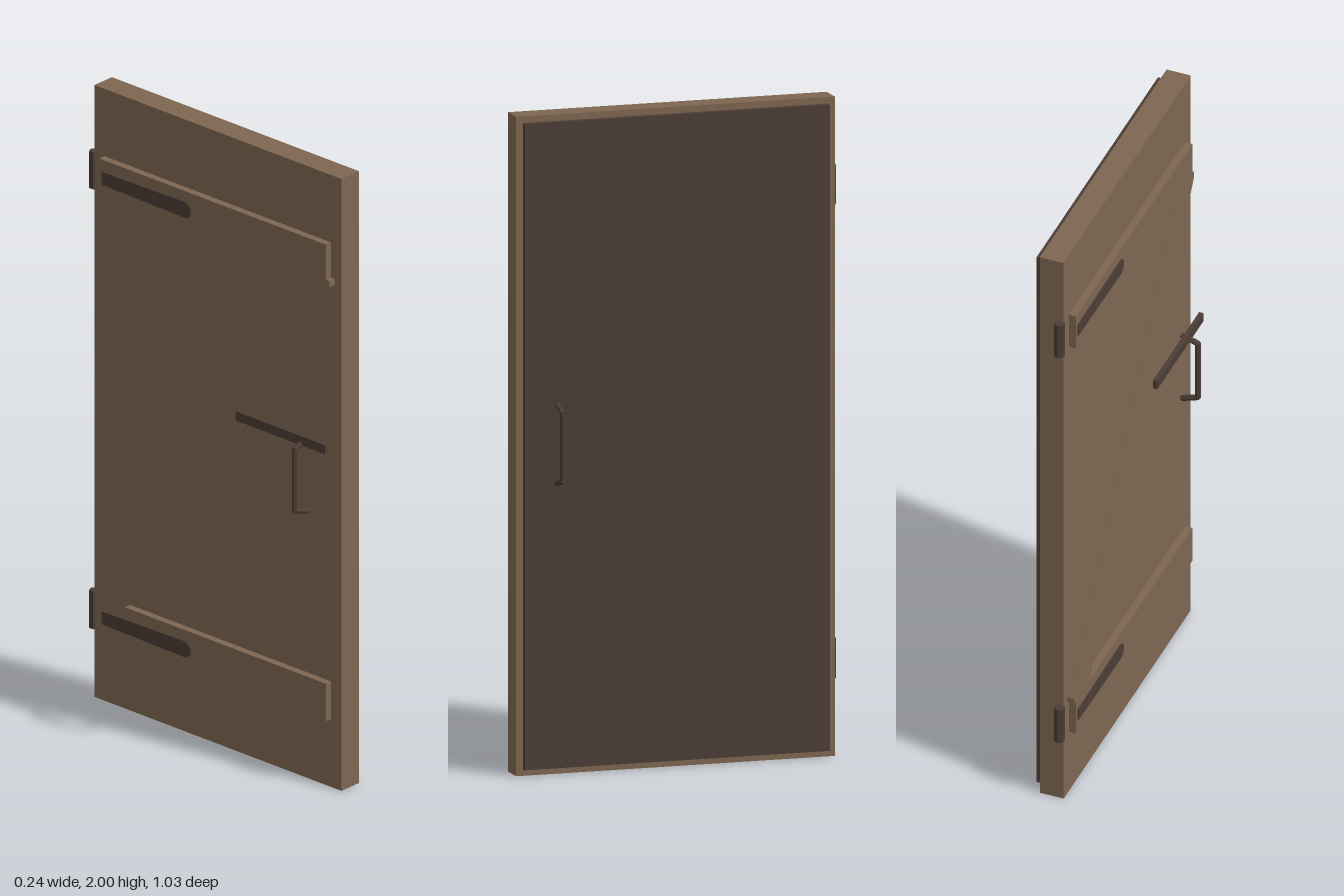
import * as THREE from 'three';

export function createModel() {
  const door = new THREE.Group();
  door.name = 'door';
  const wood = new THREE.MeshStandardMaterial({ color: 0x7e6751 });
  wood.name = 'wood';
  const dark = new THREE.MeshStandardMaterial({ color: 0x4d3d36 });
  dark.name = 'darkBrown';

  function add(name, geometry, material, parent = door) {
    const mesh = new THREE.Mesh(geometry, material);
    mesh.name = name;
    parent.add(mesh);
    return mesh;
  }

  // Box given by its minimum and maximum corners
  function box(name, [x0, y0, z0], [x1, y1, z1], material) {
    const mesh = add(name, new THREE.BoxGeometry(x1 - x0, y1 - y0, z1 - z0), material);
    mesh.position.set((x0 + x1) / 2, (y0 + y1) / 2, (z0 + z1) / 2);
    return mesh;
  }

  // Outline in (z, y), standing out from x = base towards -x
  function plate(name, shape, base, depth, material) {
    const geometry = new THREE.ExtrudeGeometry(shape, { depth, bevelEnabled: false, curveSegments: 8 });
    geometry.rotateY(-Math.PI / 2);
    geometry.translate(base, 0, 0);
    return add(name, geometry, material);
  }

  // Slab and dark facing panel
  box('slab', [-0.04, 0, -0.487], [0.037, 2, 0.512], wood);
  box('facingPanel', [0.037, 0.02, -0.466], [0.056, 1.98, 0.491], dark);

  // Battens, strap hinges and hinge barrels
  for (const [label, y0, y1] of [['upper', 1.66, 1.78], ['lower', 0.222, 0.345]]) {
    const mid = (y0 + y1) / 2;
    box(label + 'Batten', [-0.063, y0, -0.447], [-0.04, y1, 0.47], wood);

    const r = 0.026;
    const strap = new THREE.Shape();
    strap.moveTo(-0.435, mid - r * 0.8);
    strap.lineTo(-0.1, mid - r);
    strap.absarc(-0.1, mid, r, -Math.PI / 2, Math.PI / 2, false);
    strap.lineTo(-0.435, mid + r * 0.8);
    strap.closePath();
    plate(label + 'HingeStrap', strap, -0.063, 0.003, dark);

    const barrel = add(label + 'HingeBarrel', new THREE.CylinderGeometry(0.017, 0.017, y1 - y0, 6).toNonIndexed(), dark);
    barrel.geometry.computeVertexNormals();
    barrel.position.set(-0.03, mid, -0.496);
  }

  // Diagonal brace between the battens
  const brace = new THREE.Shape([
    [-0.46, 0.34], [-0.345, 0.34], [0.485, 1.645], [0.485, 1.665], [0.37, 1.665], [-0.46, 0.36],
  ].map(([z, y]) => new THREE.Vector2(z, y)));
  plate('diagonalBrace', brace, -0.04, 0.0225, wood);

  // Latch bar
  box('latchBar', [-0.09, 1.11, 0.13], [-0.076, 1.14, 0.492], dark);

  // Pull handles, one on each side, made of straight hexagonal rods
  const up = new THREE.Vector3(0, 1, 0);
  for (const side of [1, -1]) {
    const handle = new THREE.Group();
    handle.name = side > 0 ? 'outerHandle' : 'innerHandle';
    door.add(handle);
    const points = [[0.062, 1.122], [0.114, 1.104], [0.114, 0.904], [0.062, 0.886]]
      .map(([x, y]) => new THREE.Vector3(side * x, y, 0.391));
    for (let i = 0; i < 3; i++) {
      const span = points[i + 1].clone().sub(points[i]);
      const geometry = new THREE.CylinderGeometry(0.009, 0.009, span.length() + 0.004, 6).toNonIndexed();
      geometry.computeVertexNormals();
      const rod = add('handleRod', geometry, dark, handle);
      rod.position.copy(points[i]).addScaledVector(span, 0.5);
      rod.quaternion.setFromUnitVectors(up, span.normalize());
    }
  }
  return door;
}
